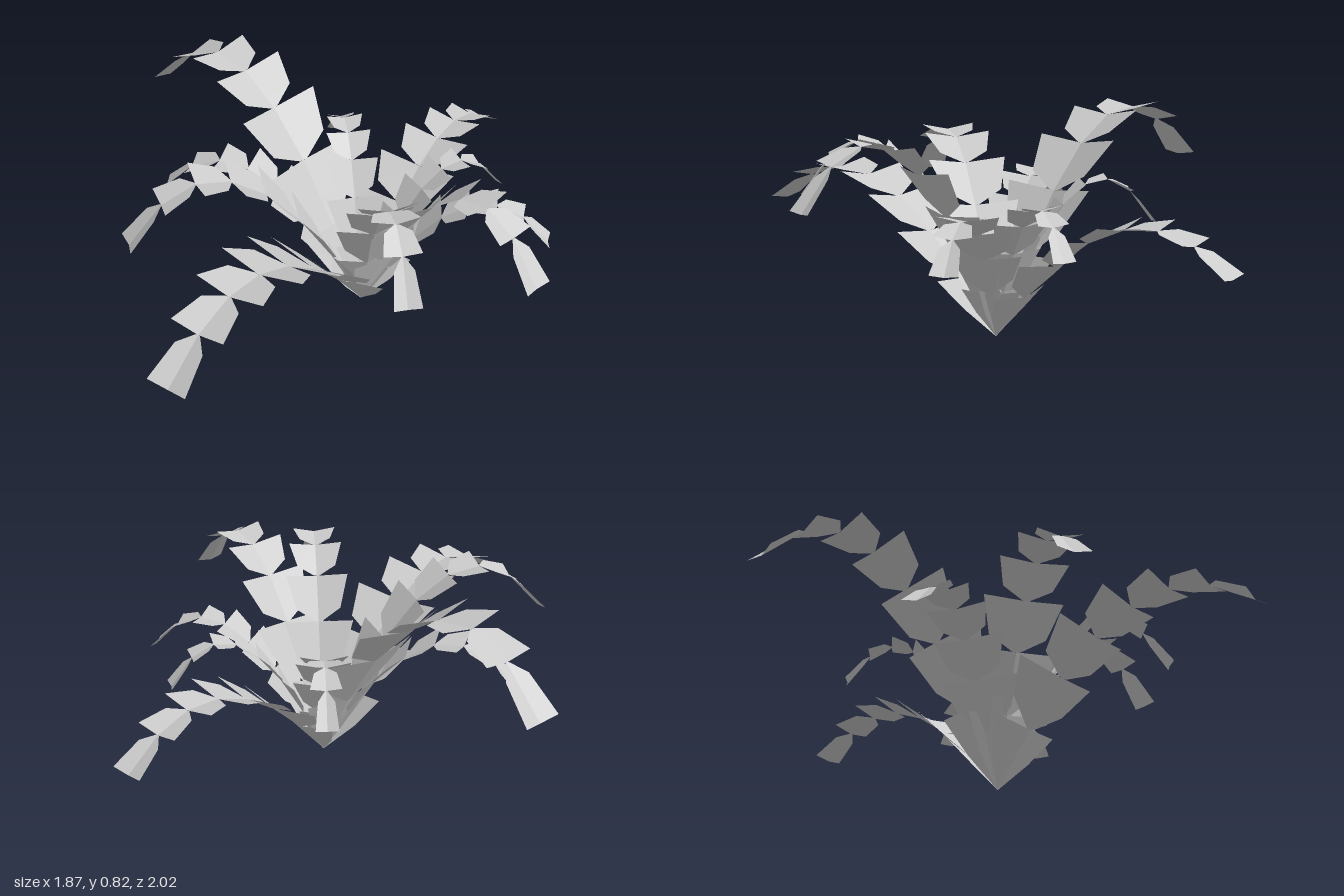
import * as THREE from 'three';

const leafGrey = new THREE.MeshStandardMaterial({ color: 0xcccccc, side: THREE.DoubleSide, flatShading: true });
leafGrey.name = 'leaf grey';

const ROOT = new THREE.Vector3(0.13, 0, -0.08);
const SEGMENTS = 7;
const FOLD = 0.2; // how far the leaflet edges rise, relative to half width
const WIDTHS = [0.16, 0.195, 0.175, 0.15, 0.122, 0.095, 0.07]; // half widths relative to reach

// tip x, tip z, peak height
const FRONDS = [
  ['leftFrond', -0.92, 0.02, 0.795],
  ['backFrond', -0.09, -0.99, 0.465],
  ['backSmallFrond', 0.29, -0.63, 0.525],
  ['backRightFrond', 0.66, -0.5, 0.505],
  ['rightFrond', 0.92, -0.1, 0.735],
  ['frontRightFrond', 0.71, 0.27, 0.72],
  ['frontFrond', 0.395, 0.98, 0.56],
  ['frontInnerFrond', -0.165, 0.735, 0.7],
  ['frontLeftFrond', -0.51, 0.345, 0.545],
  ['backLeftFrond', -0.35, -0.385, 0.57],
];

// Outline of a leaflet: [position along it, share of its full width]
function leafletProfile(i) {
  if (i === 0) return [[0, 0.02], [0.5, 0.6], [1, 1]];
  if (i === 1) return [[0, 0.08], [0.38, 0.68], [1, 1]];
  return [[0, 0.1], [0.27, 0.72], [1, 1]];
}

// One arching frond: a chain of flared leaflets, each folded along its spine
function frond(name, tipX, tipZ, peak) {
  const reachVec = new THREE.Vector3(tipX - ROOT.x, 0, tipZ - ROOT.z);
  const reach = reachVec.length();
  const side = new THREE.Vector3(0, 1, 0).cross(reachVec).normalize();
  const spine = (t) => {
    const p = ROOT.clone().addScaledVector(reachVec, t);
    p.y = peak * t * (2.65 - 1.335 * t - 0.585 * t * t);
    return p;
  };

  const positions = [];
  const indices = [];
  for (let i = 0; i < SEGMENTS; i++) {
    const a = spine(i / SEGMENTS);
    const b = spine((i + 1) / SEGMENTS);
    const up = b.clone().sub(a).cross(side).normalize();
    const half = WIDTHS[i] * reach;
    const start = positions.length / 3;
    for (const [t, share] of leafletProfile(i)) {
      const centre = a.clone().lerp(b, t);
      for (const s of [-1, 0, 1]) {
        const p = centre.clone()
          .addScaledVector(side, s * share * half)
          .addScaledVector(up, Math.abs(s) * share * half * FOLD);
        positions.push(p.x, p.y, p.z);
      }
    }
    for (let row = 0; row < 2; row++) {
      for (let col = 0; col < 2; col++) {
        const k = start + row * 3 + col;
        indices.push(k, k + 3, k + 1, k + 1, k + 3, k + 4);
      }
    }
  }
  const geometry = new THREE.BufferGeometry();
  geometry.setAttribute('position', new THREE.Float32BufferAttribute(positions, 3));
  geometry.setIndex(indices);
  const flat = geometry.toNonIndexed();
  flat.computeVertexNormals();
  const mesh = new THREE.Mesh(flat, leafGrey);
  mesh.name = name;
  return mesh;
}

export function createModel() {
  const plant = new THREE.Group();
  plant.name = 'fernPlant';
  for (const spec of FRONDS) plant.add(frond(...spec));
  return plant;
}
